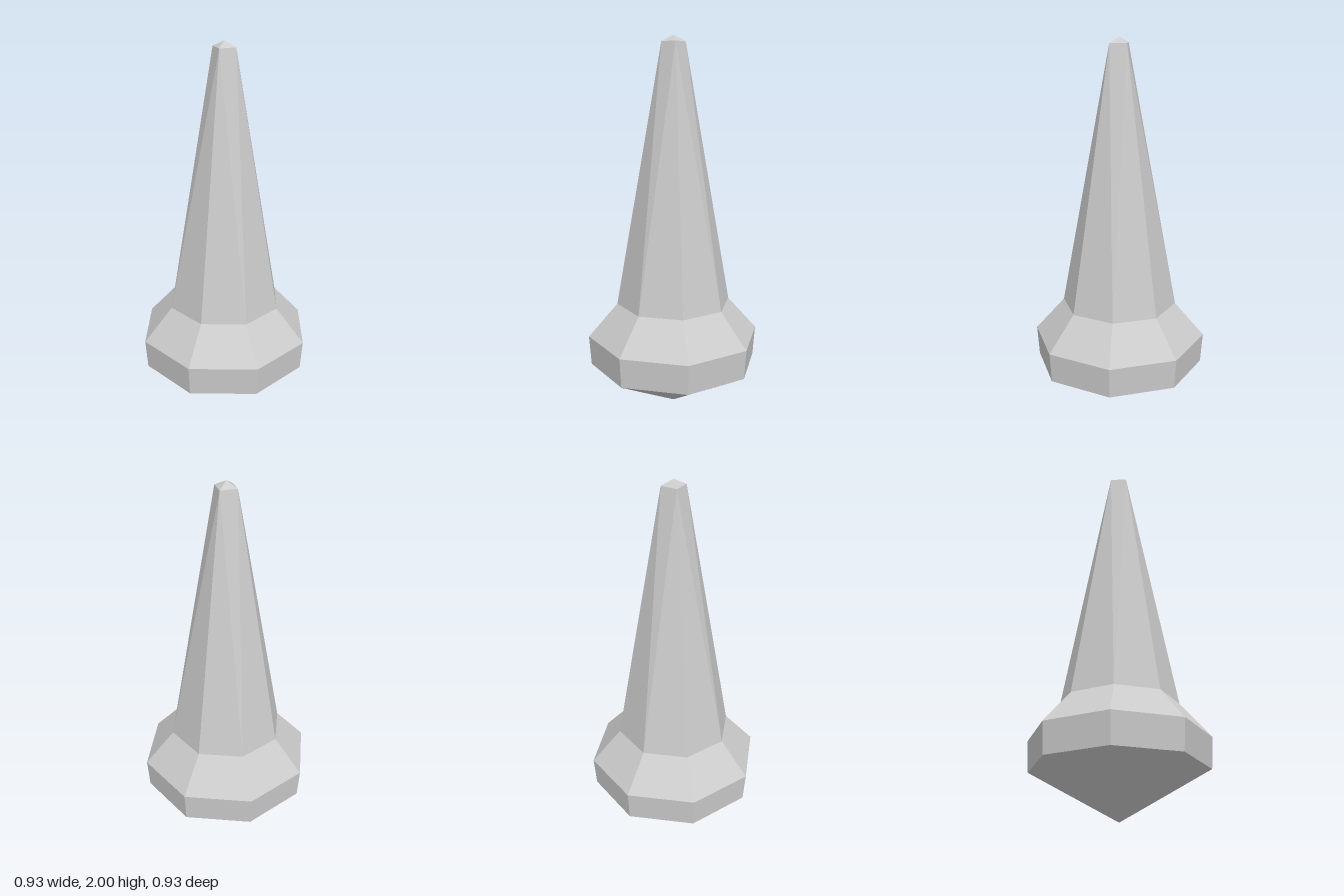
import * as THREE from 'three';

const SIDES = 8;

// One eight-sided ring; axisR is the radius on the axes, cornerR on the diagonals.
function ring(y, axisR, cornerR = axisR) {
  return Array.from({ length: SIDES }, (_, i) => {
    const a = (i / SIDES) * Math.PI * 2;
    const r = i % 2 ? cornerR : axisR;
    return new THREE.Vector3(Math.sin(a) * r, y, Math.cos(a) * r);
  });
}

// Faceted skin between consecutive rings, listed bottom to top.
function loft(name, rings, material) {
  const points = [];
  const tri = (a, b, c) => {
    if (a.distanceTo(b) > 1e-6 && b.distanceTo(c) > 1e-6 && c.distanceTo(a) > 1e-6) points.push(a, b, c);
  };
  for (let k = 0; k < rings.length - 1; k++) {
    for (let i = 0; i < SIDES; i++) {
      const j = (i + 1) % SIDES;
      const a = rings[k][i], b = rings[k][j], c = rings[k + 1][j], d = rings[k + 1][i];
      // Split each quad from its lower axis point to its upper diagonal point.
      if (i % 2 === 0) { tri(a, b, c); tri(a, c, d); }
      else { tri(a, b, d); tri(b, c, d); }
    }
  }
  const geometry = new THREE.BufferGeometry().setFromPoints(points);
  geometry.computeVertexNormals();
  const mesh = new THREE.Mesh(geometry, material);
  mesh.name = name;
  return mesh;
}

export function createModel() {
  const group = new THREE.Group();
  group.name = 'spike';
  const material = new THREE.MeshStandardMaterial({ color: 0xcccccc, flatShading: true });

  const bottom = ring(0.25, 0.455);
  const rim = ring(0.41, 0.466);
  const neck = ring(0.59, 0.308);
  // The shaft narrows from an octagon to a square.
  const half = 0.044;
  const top = ring(1.97, half, half * Math.SQRT2);

  group.add(
    loft('pointedBase', [ring(0, 0), bottom], material),
    loft('collar', [bottom, rim, neck], material),
    loft('shaft', [neck, top], material),
    loft('tip', [top, ring(2, 0)], material),
  );
  return group;
}
